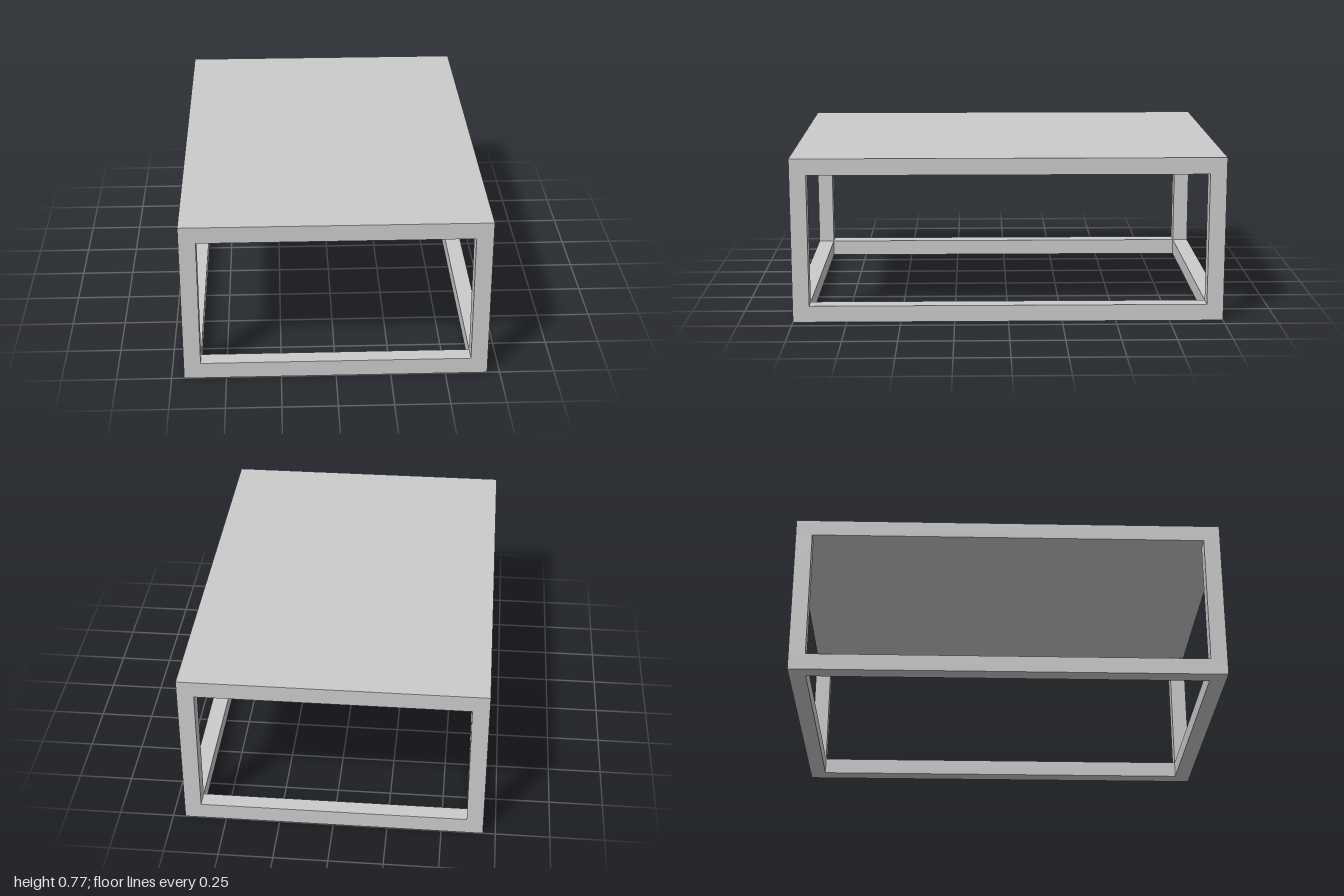
import * as THREE from 'three';

// Overall size and the square bar thickness
const W = 1.385, H = 0.77, D = 2, T = 0.077;

export function createModel() {
  const group = new THREE.Group();
  const material = new THREE.MeshStandardMaterial({ color: 0xcccccc, flatShading: true });

  const addBox = (name, w, h, d, x, y, z) => {
    const mesh = new THREE.Mesh(new THREE.BoxGeometry(w, h, d), material);
    mesh.name = name;
    mesh.position.set(x, y, z);
    group.add(mesh);
  };

  // Solid slab top
  addBox('tableTop', W, T, D, 0, H - T / 2, 0);

  const px = (W - T) / 2, pz = (D - T) / 2;
  for (const s of [1, -1]) {
    const side = s > 0 ? 'left' : 'right';
    // Corner legs stand between the base frame and the top
    for (const f of [1, -1]) {
      addBox(`${side}${f > 0 ? 'Front' : 'Back'}Leg`, T, H - 2 * T, T, s * px, H / 2, f * pz);
    }
    // Base frame: full-length side rails, cross rails fitted between them
    addBox(`${side}BaseRail`, T, T, D, s * px, T / 2, 0);
    addBox(`${s > 0 ? 'front' : 'back'}BaseRail`, W - 2 * T, T, T, 0, T / 2, s * pz);
  }
  return group;
}
